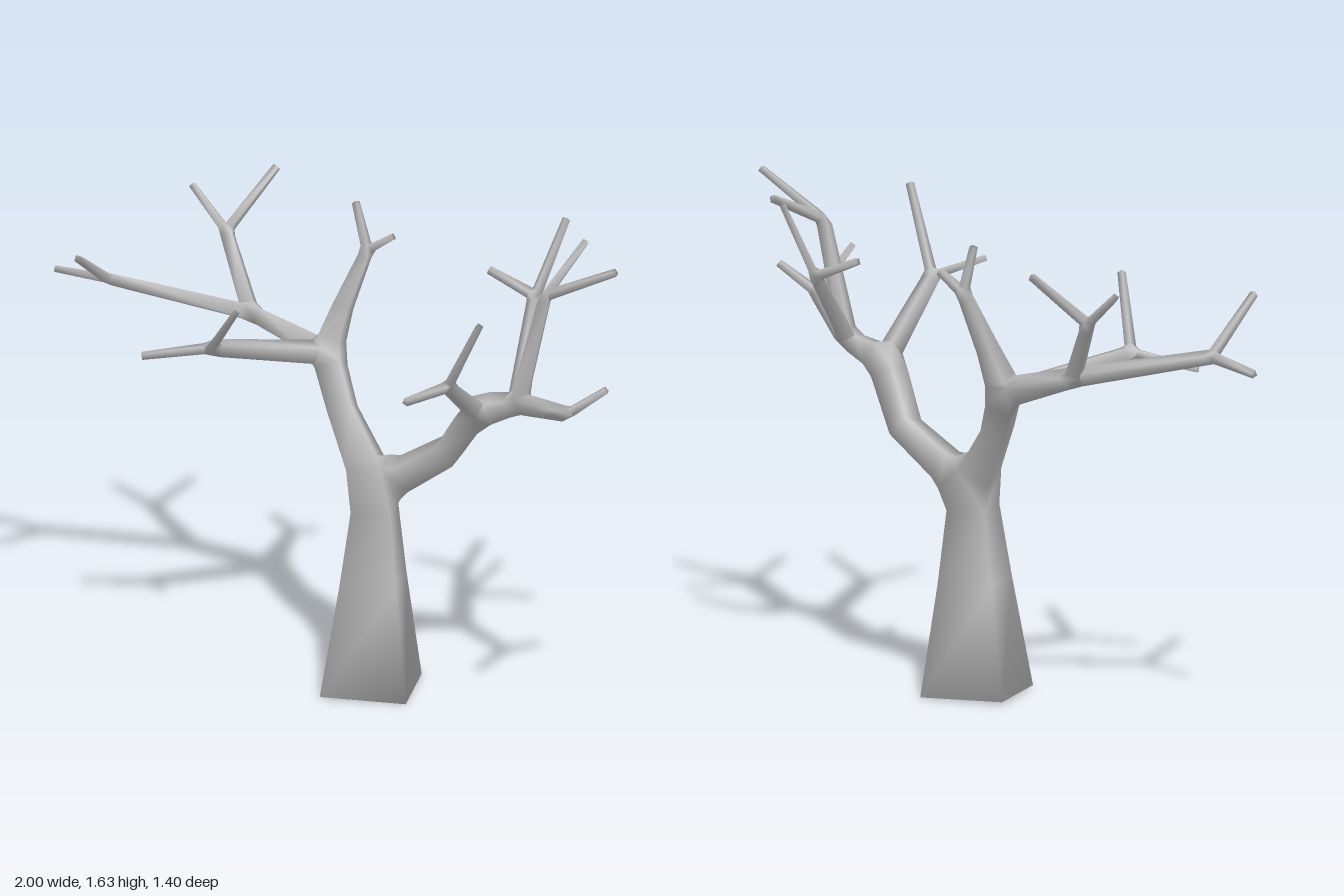
import * as THREE from 'three';
import { mergeVertices } from 'three/addons/utils/BufferGeometryUtils.js';
import { ConvexGeometry } from 'three/addons/geometries/ConvexGeometry.js';

// A skeleton joint: position, half-width of the square section, onward joints
const joint = (x, y, z, r, ...kids) => ({ p: new THREE.Vector3(x, y, z), r, kids });
const tip = (x, y, z) => joint(x, y, z, 0.01);
const named = (part, j) => Object.assign(j, { part });

// Limb on the model's right (-x), leaning back
const rightLimb = named('rightLimb', joint(0.0, 0.92, -0.19, 0.042,
  joint(-0.07, 1.07, -0.3, 0.044,
    named('rightUpperBranch', joint(-0.025, 1.22, -0.34, 0.028,
      joint(0.05, 1.41, -0.37, 0.018, tip(0.01, 1.57, -0.38), tip(0.14, 1.47, -0.35)))),
    named('rightOuterBranch', joint(-0.34, 1.16, -0.385, 0.026,
      joint(-0.81, 1.26, -0.35, 0.018, tip(-1.0, 1.24, -0.46), tip(-0.86, 1.42, -0.09)),
      joint(-0.45, 1.38, -0.54, 0.019, tip(-0.58, 1.5, -0.63), tip(-0.31, 1.56, -0.69)))),
    named('rightFrontBranch', joint(-0.4, 1.17, -0.01, 0.022,
      tip(-0.63, 1.13, 0.0), tip(-0.28, 1.38, 0.22))))));

// Limb on the model's left (+x), leaning forward
const leftLimb = named('leftLimb', joint(0.23, 0.755, -0.06, 0.048,
  joint(0.385, 0.86, -0.02, 0.042,
    joint(0.5, 1.05, 0.1, 0.044,
      named('leftFrontBranch', joint(0.47, 1.26, 0.45, 0.021,
        tip(0.37, 1.28, 0.67), tip(0.6, 1.53, 0.59))),
      named('leftOuterBranch', joint(0.645, 1.1, 0.135, 0.031,
        joint(0.86, 1.18, 0.42, 0.019, tip(0.99, 1.27, 0.41), tip(0.84, 1.28, 0.69)),
        joint(0.74, 1.49, 0.16, 0.019, tip(0.99, 1.62, 0.25), tip(0.83, 1.6, -0.07)),
        joint(0.65, 1.37, -0.15, 0.02, tip(0.74, 1.62, -0.22), tip(0.49, 1.44, -0.18))))))));

const trunk = joint(0.117, 0.006, -0.07, 0.143,
  joint(0.125, 0.38, -0.067, 0.094, joint(0.13, 0.7, -0.075, 0.067, rightLimb, leftLimb)));

// Four corners of a square section facing along dir
function ring(centre, dir, u, r) {
  const v = new THREE.Vector3().crossVectors(dir, u);
  return [[1, 1], [-1, 1], [-1, -1], [1, -1]].map(([a, b]) =>
    centre.clone().addScaledVector(u, a * r).addScaledVector(v, b * r));
}

const turn = (u, from, to) =>
  u.clone().applyQuaternion(new THREE.Quaternion().setFromUnitVectors(from, to));

export function createModel() {
  const bark = new THREE.MeshStandardMaterial({ color: 0xb8b8b8 });
  bark.name = 'grey bark';

  const positions = [];
  const triangleParts = [];
  const tri = (part, ...pts) => {
    pts.forEach((p) => positions.push(p.x, p.y, p.z));
    triangleParts.push(part);
  };
  const quad = (part, a, b, c, d) => { tri(part, a, b, c); tri(part, a, c, d); };
  const tube = (part, a, b) => {
    for (let i = 0; i < 4; i++) {
      const j = (i + 1) % 4;
      quad(part, a[i], a[j], b[j], b[i]);
    }
  };

  // Convex fork skin between the open ends of its branches
  const fork = (part, rings) => {
    const pts = rings.flat();
    const hull = new ConvexGeometry(pts).getAttribute('position');
    for (let i = 0; i < hull.count; i += 3) {
      const corners = [0, 1, 2].map((k) => new THREE.Vector3().fromBufferAttribute(hull, i + k));
      const owners = corners.map((c) => Math.floor(pts.findIndex((p) => p.distanceTo(c) < 1e-5) / 4));
      if (owners[0] !== owners[1] || owners[0] !== owners[2]) tri(part, ...corners);
    }
  };

  // Skin one skeleton edge up to its joint, then carry on to the next ones
  function grow(node, start, dir, u, part) {
    const heading = (kid) => kid.p.clone().sub(node.p).normalize();
    if (node.kids.length === 0) {
      const end = ring(node.p, dir, u, node.r);
      tube(part, start, end);
      quad(part, ...end);
    } else if (node.kids.length === 1) {
      const kid = node.kids[0];
      const next = heading(kid);
      const mid = dir.clone().add(next).normalize();
      const end = ring(node.p, mid, turn(u, dir, mid), node.r);
      tube(part, start, end);
      grow(kid, end, next, turn(u, dir, next), kid.part || part);
    } else {
      const d = node.r * 1.15;
      const end = ring(node.p.clone().addScaledVector(dir, -d), dir, u, node.r);
      tube(part, start, end);
      const starts = node.kids.map((kid) => {
        const next = heading(kid);
        const side = turn(u, dir, next);
        const r = Math.min(node.r * 0.9, kid.r * 1.35);
        const open = ring(node.p.clone().addScaledVector(next, d), next, side, r);
        return { kid, open, next, side };
      });
      fork(part, [end, ...starts.map((s) => s.open)]);
      starts.forEach((s) => grow(s.kid, s.open, s.next, s.side, s.kid.part || part));
    }
  }

  // Trunk base, closed underneath
  const up = trunk.kids[0].p.clone().sub(trunk.p).normalize();
  const side = turn(new THREE.Vector3(1, 0, 0), new THREE.Vector3(0, 1, 0), up);
  const base = ring(trunk.p, up, side, trunk.r);
  quad('trunk', base[3], base[2], base[1], base[0]);
  grow(trunk.kids[0], base, up, side, 'trunk');

  // Smooth the whole skin together, then divide it into named parts
  let skin = new THREE.BufferGeometry();
  skin.setAttribute('position', new THREE.Float32BufferAttribute(positions, 3));
  skin = mergeVertices(skin, 1e-5);
  skin.computeVertexNormals();

  const tree = new THREE.Group();
  tree.name = 'bareTree';
  for (const name of new Set(triangleParts)) {
    const index = [];
    triangleParts.forEach((part, t) => {
      if (part === name) for (let k = 0; k < 3; k++) index.push(skin.index.getX(t * 3 + k));
    });
    const piece = skin.clone();
    piece.setIndex(index);
    const mesh = new THREE.Mesh(piece.toNonIndexed(), bark);
    mesh.name = name;
    tree.add(mesh);
  }
  return tree;
}
